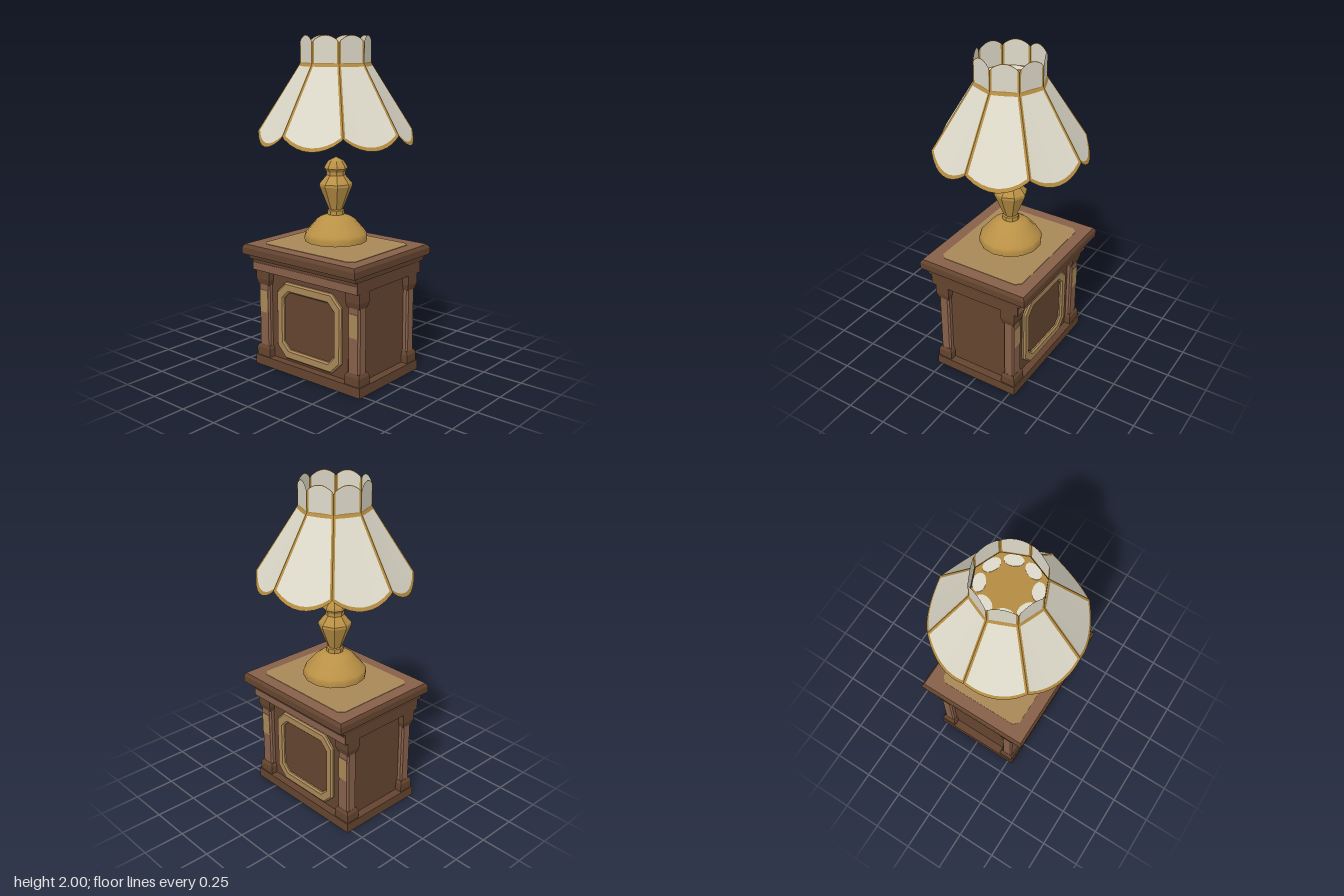
import * as THREE from 'three';

const mat = (name, color, extra = {}) => {
  const m = new THREE.MeshStandardMaterial({ color, ...extra });
  m.name = name;
  return m;
};

export function createModel() {
  const model = new THREE.Group();
  const darkWood = mat('dark wood', 0x64442f);
  const lightWood = mat('light wood', 0x86604a);
  const inlay = mat('tan inlay', 0xa88758);
  const brass = mat('brass', 0xba9146, { flatShading: true });
  const smoothBrass = mat('smooth brass', 0xba9146);
  const cream = mat('cream fabric', 0xdedaca, { side: THREE.DoubleSide });
  const trim = mat('gold trim', 0xb48c42, { side: THREE.DoubleSide });

  const add = (name, geo, material, parent = model) => {
    const mesh = new THREE.Mesh(geo, material);
    mesh.name = name;
    parent.add(mesh);
    return mesh;
  };

  // Box from y0 to y1 with half sizes at the bottom and at the top
  const block = (name, y0, y1, hx, hz, material, tx = hx, tz = hz, cx = 0, cz = 0) => {
    const geo = new THREE.BoxGeometry(2, y1 - y0, 2);
    const p = geo.attributes.position;
    for (let i = 0; i < p.count; i++) {
      const top = p.getY(i) > 0;
      p.setX(i, p.getX(i) * (top ? tx : hx));
      p.setZ(i, p.getZ(i) * (top ? tz : hz));
    }
    geo.computeVertexNormals();
    const mesh = add(name, geo, material);
    mesh.position.set(cx, (y0 + y1) / 2, cz);
    return mesh;
  };

  // Rectangle outline with cut corners
  const cutRect = (hw, hh, c, Type = THREE.Shape) => {
    const pts = [[hw - c, -hh], [hw, c - hh], [hw, hh - c], [hw - c, hh],
      [c - hw, hh], [-hw, hh - c], [-hw, c - hh], [c - hw, -hh]];
    return new Type(pts.map(([x, y]) => new THREE.Vector2(x, y)));
  };
  const extrude = (shape, depth, bevel = 0) => new THREE.ExtrudeGeometry(shape, {
    depth, bevelEnabled: bevel > 0, bevelSize: bevel, bevelThickness: bevel, bevelSegments: 1,
  });

  // Cabinet: plinth, body, stepped cornice and top
  block('plinth', 0, 0.06, 0.283, 0.41, darkWood);
  block('body', 0.06, 0.62, 0.235, 0.36, darkWood);
  block('frieze', 0.61, 0.68, 0.3, 0.405, darkWood);
  block('cornice', 0.68, 0.72, 0.318, 0.41, darkWood, 0.332, 0.415);
  block('topSlab', 0.715, 0.755, 0.36, 0.432, darkWood);
  block('topBevel', 0.755, 0.775, 0.36, 0.432,
    [darkWood, darkWood, lightWood, darkWood, darkWood, darkWood], 0.348, 0.42);
  const topInlay = add('topInlay', extrude(cutRect(0.275, 0.345, 0.03), 0.003), inlay);
  topInlay.rotation.x = -Math.PI / 2;
  topInlay.position.y = 0.775;

  // Corner pillars with feet and flared capitals
  for (const sx of [-1, 1]) for (const sz of [-1, 1]) {
    const x = sx * 0.23, z = sz * 0.349;
    const shaft = add('pillar', extrude(cutRect(0.035, 0.043, 0.01), 0.5), lightWood);
    shaft.rotation.x = -Math.PI / 2;
    shaft.position.set(x, 0.08, z);
    block('pillarFoot', 0.06, 0.11, 0.046, 0.054, darkWood, 0.046, 0.054, x, z);
    block('pillarFootTaper', 0.11, 0.13, 0.046, 0.054, darkWood, 0.036, 0.044, x, z);
    block('capitalTaper', 0.515, 0.55, 0.036, 0.044, darkWood, 0.045, 0.053, x, z);
    block('capital', 0.55, 0.61, 0.045, 0.053, darkWood, 0.045, 0.053, x, z);
    block('pillarInlay', 0.34, 0.48, 0.002, 0.033, inlay, 0.002, 0.033, sx * 0.2655, z);
  }

  // Framed panels and light frieze strips on both long sides
  for (const s of [-1, 1]) {
    const side = new THREE.Group();
    side.name = 'sidePanel';
    side.rotation.y = s * Math.PI / 2;
    const frame = cutRect(0.24, 0.23, 0.065);
    frame.holes.push(cutRect(0.205, 0.19, 0.05, THREE.Path));
    add('panelFrame', extrude(frame, 0.01, 0.01), inlay, side).position.set(0, 0.32, 0.24);
    add('panelField', extrude(cutRect(0.2, 0.185, 0.045), 0.006), darkWood, side).position.set(0, 0.32, 0.235);
    add('friezeStrip', new THREE.BoxGeometry(0.8, 0.045, 0.006), lightWood, side).position.set(0, 0.636, 0.3);
    model.add(side);
  }

  // Lamp foot and faceted stem
  const lathe = (name, pts, sides, material) =>
    add(name, new THREE.LatheGeometry(pts.map(([r, y]) => new THREE.Vector2(r, y)), sides), material);
  lathe('lampFoot', [[0, 0.803], [0.188, 0.803], [0.188, 0.803], [0.19, 0.833], [0.182, 0.85],
    [0.165, 0.87], [0.118, 0.925], [0.09, 0.945], [0.05, 0.96]], 14, smoothBrass);
  lathe('lampStem', [[0.05, 0.955], [0.05, 0.985], [0.042, 0.99], [0.098, 1.13], [0.097, 1.145],
    [0.055, 1.195], [0.055, 1.215], [0.07, 1.235], [0.065, 1.25], [0.045, 1.28], [0, 1.302]], 8, brass);

  // Fabric panel with trim along all four edges; point(u, v) runs from top to bottom
  const fabricPanel = (point, topWidth, bottomWidth, t0, t1) => {
    const pos = [], fabric = [], edging = [], n = 10;
    const rows = [0, t0, 0.25, 0.5, 0.75, 1 - t1, 1];
    rows.forEach((v, j) => {
      const e = 0.011 / (topWidth + (bottomWidth - topWidth) * v);
      for (let i = 0; i <= n; i++) {
        const u = i === 0 ? 0 : i === n ? 1 : e + (1 - 2 * e) * (i - 1) / (n - 2);
        pos.push(...point(u, v));
        if (i === n || j === rows.length - 1) continue;
        const a = j * (n + 1) + i, b = a + n + 1;
        const edge = i === 0 || i === n - 1 || j === 0 || j === rows.length - 2;
        (edge ? edging : fabric).push(a, b, a + 1, a + 1, b, b + 1);
      }
    });
    const geo = new THREE.BufferGeometry();
    geo.setAttribute('position', new THREE.Float32BufferAttribute(pos, 3));
    geo.setIndex([...fabric, ...edging]);
    geo.addGroup(0, fabric.length, 0);
    geo.addGroup(fabric.length, edging.length, 1);
    geo.computeVertexNormals();
    return geo;
  };
  const step = Math.PI / 4, R = 0.205;
  const octagon = (u) => [R * (1 - u) * Math.sin(0) + R * u * Math.sin(step), R * (1 - u) + R * u * Math.cos(step)];
  const scallop = (u) => Math.pow(Math.max(0, Math.sin(Math.PI * u)), 0.75);
  const skirt = fabricPanel((u, v) => {
    const [x, z] = octagon(u);
    const bx = 0.45 * Math.sin(u * step), bz = 0.45 * Math.cos(u * step);
    const by = 1.46 - 0.073 * scallop(u);
    return [x + (bx - x) * v, 1.842 + (by - 1.842) * v, z + (bz - z) * v];
  }, 0.157, 0.344, 0.035, 0.045);
  const collar = fabricPanel((u, v) => {
    const [x, z] = octagon(u);
    const ty = 1.96 + 0.04 * scallop(u);
    return [x, ty + (1.835 - ty) * v, z];
  }, 0.157, 0.157, 0.03, 0.08);

  // Eight-sided shade: skirt, collar and cream spots on the inner disc
  const shade = new THREE.Group();
  shade.name = 'lampshade';
  model.add(shade);
  add('shadeDisc', new THREE.CylinderGeometry(0.2, 0.2, 0.006, 8), trim, shade).position.y = 1.842;
  for (let k = 0; k < 8; k++) {
    add('skirtPanel', skirt, [cream, trim], shade).rotation.y = k * step;
    add('collarPanel', collar, [cream, trim], shade).rotation.y = k * step;
    const a = (k + 0.5) * step;
    const spot = add('discSpot', new THREE.CylinderGeometry(1, 1, 0.004, 14), cream, shade);
    spot.scale.set(0.053, 1, 0.034);
    spot.rotation.y = a;
    spot.position.set(0.15 * Math.sin(a), 1.846, 0.15 * Math.cos(a));
  }
  return model;
}
